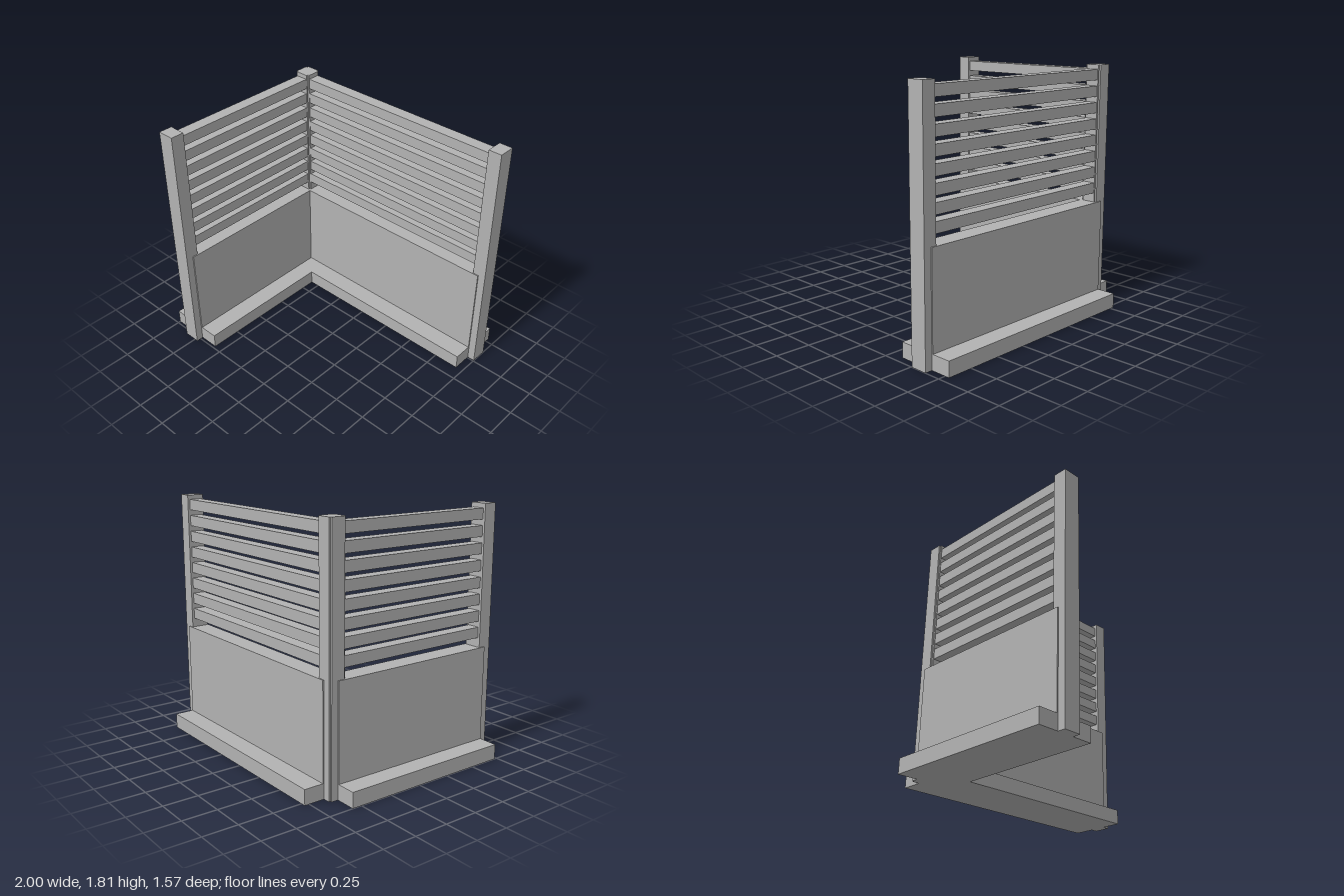
import * as THREE from 'three';

export function createModel() {
  const model = new THREE.Group();
  const grey = new THREE.MeshStandardMaterial({ color: 0xb2b2b2 });
  grey.name = 'grey';

  // The two wings meet on the corner axis and end inside the end posts.
  const cx = -0.785, cz = -0.57, endX = 0.945, endZ = 0.73;

  // Extrude a plan outline of [x, z] points upward from y0 to y1.
  function prism(name, outline, y0, y1) {
    const shape = new THREE.Shape(outline.map(([x, z]) => new THREE.Vector2(x, -z)));
    const geo = new THREE.ExtrudeGeometry(shape, { depth: y1 - y0, bevelEnabled: false });
    geo.rotateX(-Math.PI / 2);
    geo.translate(0, y0, 0);
    const mesh = new THREE.Mesh(geo, grey);
    mesh.name = name;
    model.add(mesh);
  }

  // L-shaped plan with half width w, its outer corner left open for the post.
  const wings = (w) => [
    [cx, cz - w], [endX, cz - w], [endX, cz + w], [cx + w, cz + w],
    [cx + w, endZ], [cx - w, endZ], [cx - w, cz], [cx, cz],
  ];

  const rect = (x, z, hx, hz) => [
    [x - hx, z - hz], [x + hx, z - hz], [x + hx, z + hz], [x - hx, z + hz],
  ];

  // Footing and solid lower wall
  prism('footing', wings(0.215), 0, 0.11);
  prism('lowerWall', wings(0.072), 0.11, 0.8);

  // Horizontal slats
  for (let i = 0; i < 8; i++) {
    const y = 0.868 + i * 0.119;
    prism('slat' + (i + 1), wings(0.046), y, y + 0.077);
  }

  // End posts
  const a = 0.05, b = 0.063, top = 1.81;
  prism('backEndPost', rect(0.95, cz, a, b), 0, top);
  prism('frontEndPost', rect(cx, 0.735, b, a), 0, top);

  // Corner post: two crossed posts, giving small notched corners
  const cross = [
    [-a, -b], [a, -b], [a, -a], [b, -a], [b, a], [a, a],
    [a, b], [-a, b], [-a, a], [-b, a], [-b, -a], [-a, -a],
  ].map(([x, z]) => [cx + x, cz + z]);
  prism('cornerPost', cross, 0, top);

  return model;
}
